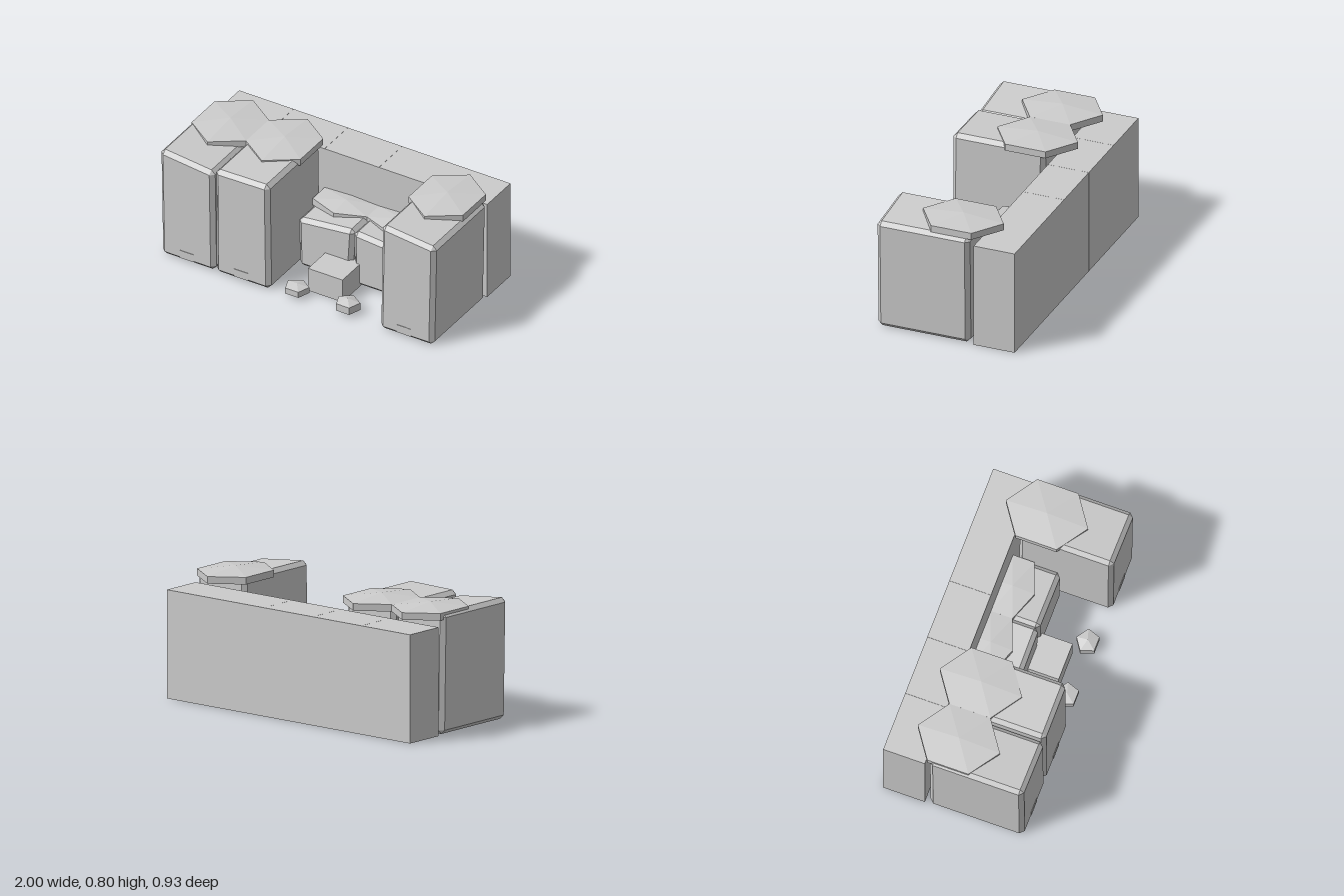
import * as THREE from 'three';
import { ConvexGeometry } from 'three/addons/geometries/ConvexGeometry.js';

const material = new THREE.MeshStandardMaterial({ color: 0xcccccc, flatShading: true });

function part(group, name, geometry, x = 0, y = 0, z = 0) {
  const mesh = new THREE.Mesh(geometry, material);
  mesh.name = name;
  mesh.position.set(x, y, z);
  group.add(mesh);
  return mesh;
}

// Block with bevelled edges; bottom/top are [left x, right x], height is [left y, right y]
function bevelledBlock(bottom, top, height, back, front, c = 0.027) {
  const points = [];
  for (const i of [0, 1]) for (const j of [0, 1]) for (const k of [0, 1]) {
    const x = (j ? top : bottom)[i];
    const y = j ? height[i] : 0;
    const z = k ? front : back;
    const dx = i ? -c : c, dy = j ? -c : c, dz = k ? -c : c;
    points.push(
      new THREE.Vector3(x, y + dy, z + dz),
      new THREE.Vector3(x + dx, y, z + dz),
      new THREE.Vector3(x + dx, y + dy, z));
  }
  return new ConvexGeometry(points);
}

// Faceted slab: a polygonal rim with shallow points above and below
function slab(sides, radius, depthScale, [low, rimLow, rimHigh, high]) {
  const profile = [[0, low], [radius, rimLow], [radius, rimHigh], [0, high]];
  return new THREE.LatheGeometry(profile.map(p => new THREE.Vector2(...p)), sides)
    .scale(1, 1, depthScale);
}

export function createModel() {
  const group = new THREE.Group();
  group.name = 'blockRuin';
  const columns = [-0.79, -0.395, 0, 0.395, 0.787];

  // Rear wall of plain blocks
  for (const x of columns)
    part(group, 'wallBlock', new THREE.BoxGeometry(0.394, 0.69, 0.275), x, 0.345, -0.3265);

  // Tall bevelled blocks, each with a hexagonal cap and a small plate at the foot
  const tall = [
    [-0.79, [-0.988, -0.6], [-1, -0.61], [0.772, 0.735]],
    [-0.395, [-0.595, -0.2], [-0.6, -0.21], [0.762, 0.768]],
    [0.787, [0.598, 0.986], [0.61, 1], [0.772, 0.735]],
  ];
  for (const [x, bottom, top, height] of tall) {
    part(group, 'tallBlock', bevelledBlock(bottom, top, height, -0.16, 0.461));
    part(group, 'tallCap', slab(6, 0.228, 1.19, [0.705, 0.73, 0.775, 0.8]), x, 0, -0.037);
    part(group, 'footPlate', new THREE.BoxGeometry(0.1, 0.055, 0.02), x - 0.01, 0.05, 0.454);
  }

  // Low bevelled blocks with narrower caps running into the wall
  const low = [
    [0, [-0.195, 0.185], [-0.2, 0.205], [0.355, 0.392]],
    [0.395, [0.205, 0.595], [0.2, 0.6], [0.39, 0.36]],
  ];
  for (const [x, bottom, top, height] of low) {
    part(group, 'lowBlock', bevelledBlock(bottom, top, height, -0.16, 0.127));
    part(group, 'lowCap', slab(6, 0.228, 0.64, [0.33, 0.354, 0.402, 0.42]), x, 0, -0.12);
  }

  // Small plain box in the recess
  part(group, 'smallBox', new THREE.BoxGeometry(0.25, 0.165, 0.25), 0.126, 0.0825, 0.205);

  // Pentagonal stones in front
  const stones = [
    [-0.038, [0.008, 0.022, 0.063, 0.08]],
    [0.332, [0.008, 0.025, 0.076, 0.1]],
  ];
  for (const [x, heights] of stones)
    part(group, 'stone', slab(5, 0.081, 0.92, heights), x, 0, 0.4).rotation.y = Math.PI;

  return group;
}
